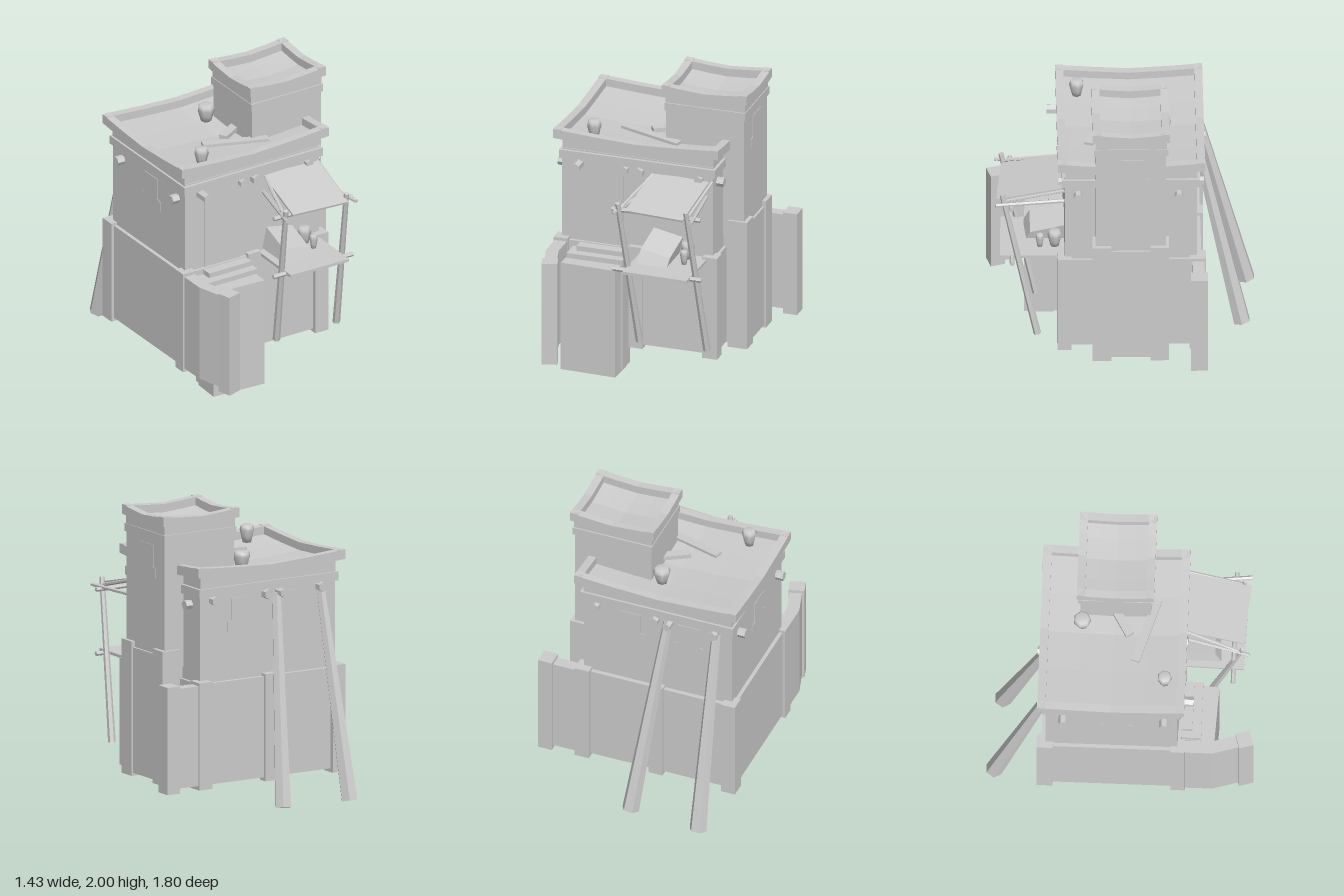
import * as THREE from 'three';

const mat = new THREE.MeshStandardMaterial({ color: 0xcccccc, flatShading: true, side: THREE.DoubleSide });
const smooth = new THREE.MeshStandardMaterial({ color: 0xcccccc, side: THREE.DoubleSide });
const V = (x, y, z) => new THREE.Vector3(x, y, z);

export function createModel() {
  const model = new THREE.Group();

  const add = (name, geo, material = mat) => {
    const m = new THREE.Mesh(geo, material);
    m.name = name;
    model.add(m);
    return m;
  };
  // box given by its limits
  const box = (name, x0, x1, y0, y1, z0, z1, sx = 1, sz = 1) => {
    const g = new THREE.BoxGeometry(x1 - x0, y1 - y0, z1 - z0, sx, 1, sz);
    g.translate((x0 + x1) / 2, (y0 + y1) / 2, (z0 + z1) / 2);
    return add(name, g);
  };
  // hollow box without its bottom face
  const shell = (...args) => {
    const g = box(...args).geometry, idx = Array.from(g.index.array);
    idx.splice(18, 6);
    g.setIndex(idx);
  };
  // tapered log between two points
  const log = (name, a, b, ra, rb = ra) => {
    const d = b.clone().sub(a);
    const m = add(name, new THREE.CylinderGeometry(rb, ra, d.length(), 6));
    m.position.copy(a).addScaledVector(d, 0.5);
    m.quaternion.setFromUnitVectors(V(0, 1, 0), d.normalize());
    return m;
  };
  // flat board between two points
  const board = (name, a, b, w, h) => {
    const m = add(name, new THREE.BoxGeometry(w, h, a.distanceTo(b)));
    m.position.copy(a).lerp(b, 0.5);
    m.lookAt(b);
  };
  const jar = (name, x, y, z, r, h) => {
    const pts = [[0, 0], [0.6, 0], [0.8, 0.35], [1, 0.7], [0.95, 0.88], [0.75, 1], [0, 1]];
    const m = add(name, new THREE.LatheGeometry(pts.map(p => new THREE.Vector2(p[0] * r, p[1] * h)), 7), smooth);
    m.position.set(x, y, z);
  };

  // sagging roof: cap block, deck and four parapet beams that dip mid-span
  const roof = (name, x0, x1, z0, z1, yBand, yTop, sag, inset) => {
    const cx = (x0 + x1) / 2, cz = (z0 + z1) / 2, hx = (x1 - x0) / 2, hz = (z1 - z0) / 2;
    const dip = t => 1 - Math.min(1, Math.abs(t)) ** 1.3;
    const bend = (mesh, minY, alongX, alongZ) => {
      const p = mesh.geometry.attributes.position;
      for (let i = 0; i < p.count; i++) {
        if (p.getY(i) < minY) continue;
        const drop = alongX * dip((p.getX(i) - cx) / hx) + alongZ * dip((p.getZ(i) - cz) / hz);
        p.setY(i, p.getY(i) - sag * drop);
      }
      mesh.geometry.computeVertexNormals();
    };
    const t = 0.055, y0 = yTop - 0.065;
    bend(box(name + 'Deck', x0 + inset, x1 - inset, yBand, y0 + 0.015, z0 + inset, z1 - inset, 4, 4), yBand + 0.01, 1, 1);
    for (const [a, b] of [[z0, z0 + t], [z1 - t, z1]])
      bend(box(name + 'Parapet', x0, x1, y0, yTop, a, b, 4, 1), 0, 1, 0);
    for (const [a, b] of [[x0, x0 + t], [x1 - t, x1]])
      bend(box(name + 'Parapet', a, b, y0, yTop, z0, z1, 1, 4), 0, 0, 1);
  };

  // main house
  box('house', -0.665, 0.41, 0.87, 1.53, -0.5, 0.39);
  box('houseBand', -0.68, 0.43, 1.46, 1.52, -0.52, 0.412);
  roof('houseRoof', -0.715, 0.46, -0.555, 0.435, 1.5, 1.675, 0.034, 0.05);
  box('doorPanel', -0.51, -0.23, 0.87, 1.47, 0.38, 0.394);

  // shuttered windows, narrow above and wide below
  const half = [[0.11, 0], [0.11, 0.07], [0.08, 0.08], [0.08, 0.23]];
  const outline = [...half, ...half.map(p => [-p[0], p[1]]).reverse()];
  const shutter = new THREE.ExtrudeGeometry(
    new THREE.Shape(outline.map(p => new THREE.Vector2(p[0], p[1]))), { depth: 0.004, bevelEnabled: false });
  for (const [x, y, z, turn] of [[0.08, 1.2, -0.5, Math.PI], [-0.35, 1.2, -0.5, Math.PI],
    [-0.665, 1.2, -0.02, -Math.PI / 2], [0.56, 1.55, -0.07, Math.PI / 2]]) {
    const m = add('window', shutter);
    m.position.set(x, y, z);
    m.rotation.y = turn;
  }

  // tower
  box('towerShaft', 0.005, 0.56, 0.95, 1.85, -0.29, 0.185);
  box('towerBand', -0.005, 0.57, 1.815, 1.87, -0.305, 0.195);
  roof('towerRoof', -0.02, 0.585, -0.315, 0.205, 1.85, 2, 0.025, 0.02);
  shell('towerSkirt', 0.03, 0.575, 0.17, 1.035, -0.28, 0.175);
  for (const x of [0, 0.45])
    for (const z of [0.08, -0.31])
      box('towerButtress', x, x + (x ? 0.138 : 0.11), 0.15, 1.075, z, z + 0.125);

  // lower yard walls hugging the house, hollow underneath
  shell('yardWall', -0.69, 0.43, 0.175, 0.87, -0.53, 0.412);
  for (const [x0, x1, z0, z1] of [[-0.71, -0.61, -0.56, -0.45], [0.35, 0.455, -0.56, -0.45],
    [0.35, 0.455, 0.345, 0.44], [-0.71, -0.61, 0.345, 0.44], [-0.18, -0.08, -0.55, -0.48], [-0.18, -0.08, 0.35, 0.43]])
    box('wallPost', x0, x1, 0.15, 0.888, z0, z1);

  // side wing wall at the back
  box('backWing', 0.4, 0.63, 0.18, 0.867, -0.55, -0.47);
  box('wingPost', 0.615, 0.715, 0.15, 0.888, -0.57, -0.455);

  // bent wing wall at the front
  const plan = [[-0.7, 0.4], [-0.7, 0.625], [-0.645, 0.81], [-0.565, 0.785], [-0.615, 0.61], [-0.615, 0.4]];
  const wing = add('frontWing', new THREE.ExtrudeGeometry(
    new THREE.Shape(plan.map(p => new THREE.Vector2(p[0], p[1]))), { depth: 0.69, bevelEnabled: false }));
  wing.rotation.x = Math.PI / 2;
  wing.position.y = 0.867;
  const post = add('wingPost', new THREE.BoxGeometry(0.108, 0.738, 0.1));
  post.position.set(-0.598, 0.519, 0.838);
  post.rotation.y = 0.28;

  // entrance steps
  box('topStep', -0.53, -0.19, 0.17, 0.865, 0.4, 0.485);
  box('middleStep', -0.58, -0.18, 0.03, 0.83, 0.4, 0.545);
  const step = add('bottomStep', new THREE.BoxGeometry(0.395, 0.78, 0.2));
  step.position.set(-0.39, 0.405, 0.545);
  step.rotation.y = -0.05;

  // roof beams running through the house
  for (const [x, back, front, r] of [[-0.54, -0.55, 0.495, 0.034], [-0.215, -0.57, 0.43, 0.03],
    [-0.11, -0.55, 0.44, 0.036], [0.315, -0.55, 0.43, 0.03]])
    log('crossBeam', V(x, 1.435, back), V(x, 1.435, front), r);
  for (const z of [0.3, -0.38])
    log('longBeam', V(-0.72, 1.395, z), V(0.46, 1.395, z), 0.033);

  // leaning props at the back
  for (const [x0, z0, x1] of [[-0.56, -0.85, -0.55], [-0.055, -0.81, -0.2]])
    log('backProp', V(x0, 0.018, z0), V(x1, 1.43, -0.5), 0.06, 0.032).rotateY(Math.PI / 6);

  // market stall frame
  for (const [xb, xt] of [[-0.05, -0.125], [0.43, 0.36]])
    log('stallPole', V(xb, 0.275, 0.575), V(xt, 1.365, 0.81), 0.026, 0.018);
  log('awningBar', V(-0.185, 1.295, 0.75), V(0.445, 1.295, 0.75), 0.016);
  log('shelfBar', V(-0.185, 0.855, 0.745), V(0.45, 0.855, 0.745), 0.016);
  log('awningArm', V(-0.035, 1.31, 0.39), V(-0.145, 1.31, 0.855), 0.014);
  log('awningArm', V(0.36, 1.31, 0.39), V(0.41, 1.31, 0.855), 0.014);
  log('awningStay', V(-0.02, 1.42, 0.39), V(-0.125, 1.31, 0.8), 0.012);
  log('awningStay', V(0.4, 1.42, 0.39), V(0.36, 1.31, 0.8), 0.012);
  board('awning', V(0.18, 1.425, 0.39), V(0.14, 1.315, 0.83), 0.42, 0.014);
  board('shelf', V(0.15, 0.862, 0.39), V(0.14, 0.862, 0.82), 0.46, 0.02);

  // goods: tilted wedge crate and jars
  const side = [[0.39, 0.87], [0.66, 0.87], [0.62, 0.96], [0.39, 1.025]];
  const crate = add('crate', new THREE.ExtrudeGeometry(
    new THREE.Shape(side.map(p => new THREE.Vector2(-p[0], p[1]))), { depth: 0.21, bevelEnabled: false }));
  crate.rotation.set(0, Math.PI / 2, -0.2, 'ZYX');
  crate.position.set(-0.215, 0.03, 0);
  jar('largeJar', 0.25, 0.87, 0.455, 0.048, 0.12);
  jar('smallJar', 0.26, 0.87, 0.555, 0.028, 0.1);

  // things left on the roof
  jar('roofJar', -0.47, 1.6, 0.295, 0.05, 0.12);
  jar('roofJar', -0.065, 1.57, -0.275, 0.06, 0.12);
  board('plank', V(-0.33, 1.615, 0.09), V(0.11, 1.6, 0.225), 0.06, 0.02);
  board('plank', V(-0.14, 1.6, 0.05), V(0.03, 1.6, -0.05), 0.06, 0.03);

  return model;
}
